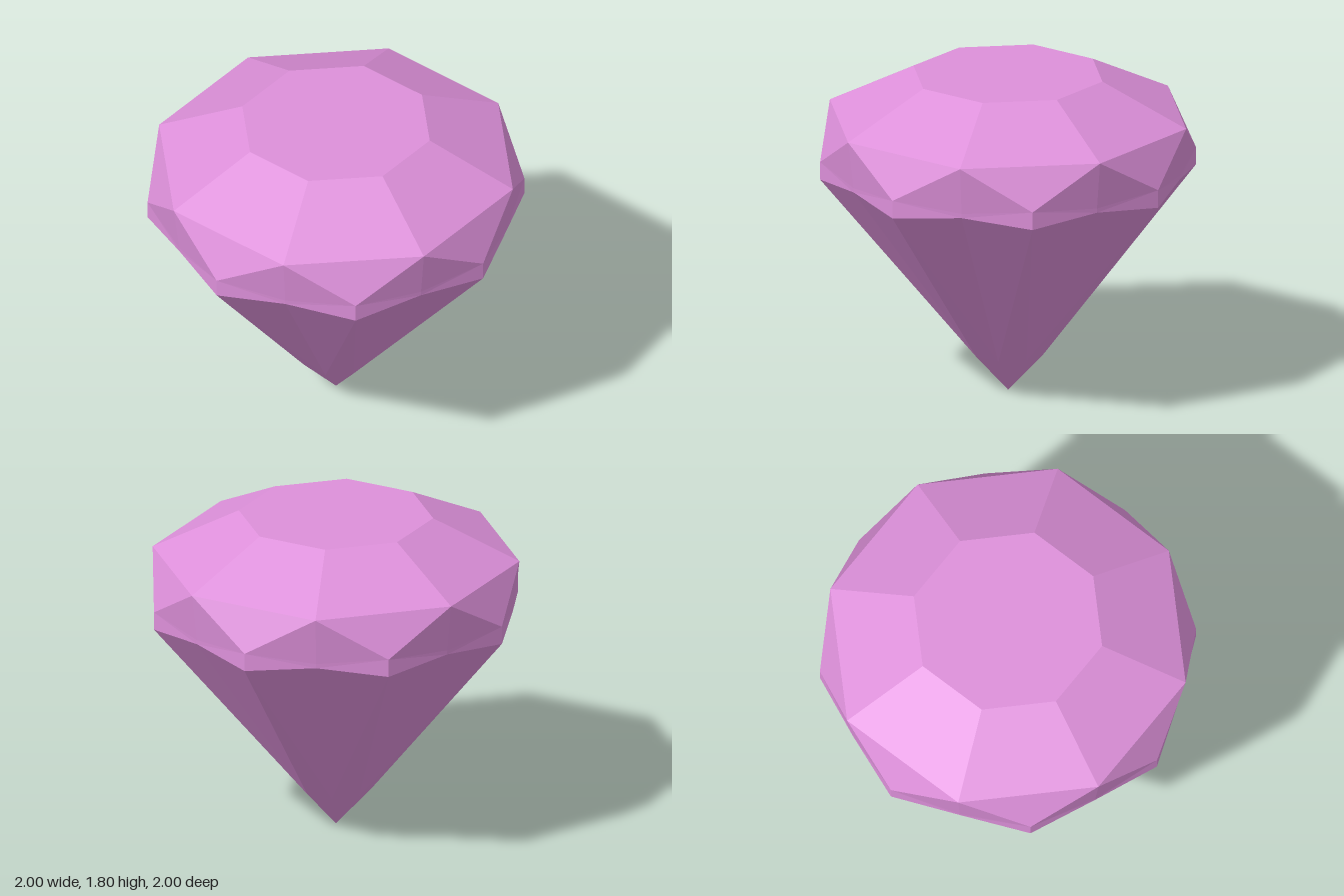
import * as THREE from 'three';

const SIDES = 8;

// Point on an eight-fold ring; step may be a half for the in-between corners.
const ring = (radius, y) => (step) => {
  const a = (step / SIDES) * Math.PI * 2;
  return new THREE.Vector3(Math.sin(a) * radius, y, Math.cos(a) * radius);
};

const tableRim = ring(0.53, 1.8);
const crownTip = ring(1.0, 1.57);
const girdleTop = ring(1.027, 1.34);
const girdleTopMid = ring(0.967, 1.305);
const girdleLow = ring(1.027, 1.24);
const girdleLowMid = ring(0.965, 1.28);
const culetRim = ring(0.2, 0.22);
const top = new THREE.Vector3(0, 1.8, 0);
const tip = new THREE.Vector3(0, 0, 0);
const core = new THREE.Vector3(0, 1, 0);

export function createModel() {
  const gem = new THREE.Group();
  gem.name = 'cutGem';
  const material = new THREE.MeshStandardMaterial({ color: 0xdd90da, flatShading: true });

  // Repeats a list of triangles around the gem, each turned to face outwards.
  function addPart(name, facets) {
    const points = [];
    for (let i = 0; i < SIDES; i++) {
      for (const [a, b, c] of facets(i)) {
        const normal = b.clone().sub(a).cross(c.clone().sub(a));
        const outward = normal.dot(a.clone().sub(core)) > 0;
        points.push(...(outward ? [a, b, c] : [a, c, b]));
      }
    }
    const geometry = new THREE.BufferGeometry().setFromPoints(points);
    geometry.computeVertexNormals();
    const mesh = new THREE.Mesh(geometry, material);
    mesh.name = name;
    gem.add(mesh);
  }

  // Flat octagon on top
  addPart('table', (i) => [[top, tableRim(i), tableRim(i + 1)]]);

  // Sloping main facets around the table
  addPart('crown', (i) => [
    [tableRim(i), crownTip(i), crownTip(i + 1)],
    [tableRim(i), crownTip(i + 1), tableRim(i + 1)],
  ]);

  // Zigzag triangles between the crown and the girdle
  addPart('upperGirdleFacets', (i) => [
    [crownTip(i), girdleTop(i + 0.5), crownTip(i + 1)],
    [crownTip(i), girdleTopMid(i), girdleTop(i + 0.5)],
    [crownTip(i), girdleTop(i - 0.5), girdleTopMid(i)],
  ]);

  // Thin scalloped band
  addPart('girdle', (i) => [-0.5, 0.5].flatMap((h) => [
    [girdleTop(i + h), girdleLow(i + h), girdleLowMid(i)],
    [girdleTop(i + h), girdleLowMid(i), girdleTopMid(i)],
  ]));

  // Long facets running down to the small ring above the point
  addPart('pavilion', (i) => [
    [girdleLowMid(i), girdleLow(i + 0.5), culetRim(i)],
    [girdleLowMid(i), girdleLow(i - 0.5), culetRim(i)],
    [girdleLow(i + 0.5), culetRim(i), culetRim(i + 1)],
  ]);

  // Blunter point at the bottom
  addPart('culet', (i) => [[culetRim(i), tip, culetRim(i + 1)]]);

  return gem;
}
